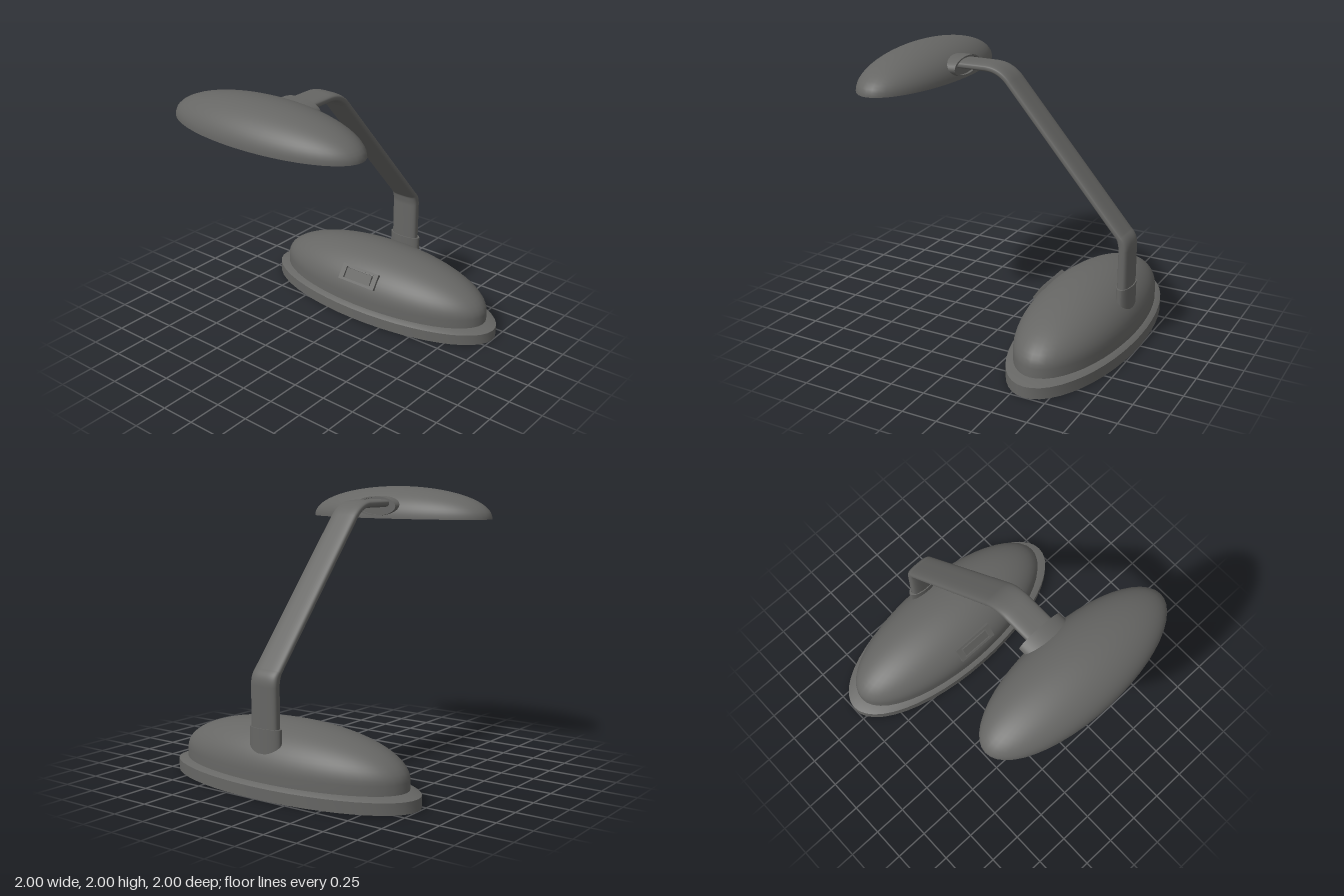
import * as THREE from 'three';
import { toCreasedNormals } from 'three/addons/utils/BufferGeometryUtils.js';

const grey = new THREE.MeshStandardMaterial({ color: 0x666664 });
const bulbYellow = new THREE.MeshStandardMaterial({ color: 0xd8d098 });

const part = (name, geometry, material = grey) => {
  const mesh = new THREE.Mesh(geometry, material);
  mesh.name = name;
  return mesh;
};

// Turned profile [radius, y] stretched into an ellipse
function ovalLathe(profile, rx, rz, segments = 48) {
  const points = profile.map(([r, y]) => new THREE.Vector2(r, y));
  const g = new THREE.LatheGeometry(points, segments);
  g.scale(rx, 1, rz);
  return toCreasedNormals(g, 0.7);
}

// Quarter-ellipse profile from the rim up to the crown
function domeProfile(radius, y0, height, steps = 16) {
  return Array.from({ length: steps + 1 }, (_, i) => {
    const a = (i / steps) * Math.PI / 2;
    return [i === steps ? 0 : radius * Math.cos(a), y0 + height * Math.sin(a)];
  });
}

// Sleeve with a shallow recess at its open (top) end
const collar = (rx, rz, length) => ovalLathe(
  [[0, 0], [1, 0], [1, length], [0.87, length], [0.87, length - 0.02], [0, length - 0.02]], rx, rz, 36);

// Flattened tube swept along a bent path in the yz plane
function armGeometry() {
  const v = (y, z) => new THREE.Vector3(0, y, z);
  const bend = (a, b, c) => new THREE.QuadraticBezierCurve3(a, b, c).getPoints(10);
  const path = [
    v(1.88, 0.45),
    ...bend(v(1.88, 0.17), v(1.88, 0.064), v(1.795, -0.01)),
    ...bend(v(0.825, -0.85), v(0.788, -0.882), v(0.73, -0.882)),
    v(0.25, -0.882),
  ];
  const sides = 40, pos = [], index = [];
  const rounded = (c) => Math.sign(c) * Math.abs(c) ** 0.65;
  path.forEach((p, i) => {
    const before = path[Math.max(i - 1, 0)], after = path[Math.min(i + 1, path.length - 1)];
    const tIn = p.clone().sub(before).normalize(), tOut = after.clone().sub(p).normalize();
    const t = tIn.add(tOut).normalize();
    const n = t.clone().cross(new THREE.Vector3(1, 0, 0));
    const half = 0.029 + 0.013 * THREE.MathUtils.smoothstep(-p.z, 0.845, 0.882);
    for (let j = 0; j < sides; j++) {
      const a = (j / sides) * Math.PI * 2;
      const s = half * rounded(Math.sin(a));
      pos.push(0.108 * rounded(Math.cos(a)), p.y + n.y * s, p.z + n.z * s);
      if (i < path.length - 1) {
        const k = (j + 1) % sides, r = i * sides;
        index.push(r + j, r + k, r + sides + j, r + k, r + sides + k, r + sides + j);
      }
    }
  });
  const g = new THREE.BufferGeometry();
  g.setAttribute('position', new THREE.Float32BufferAttribute(pos, 3));
  g.setIndex(index);
  g.computeVertexNormals();
  return g;
}

function rectangle(Type, w, h) {
  return new Type([[-w, -h], [w, -h], [w, h], [-w, h]].map(([x, y]) => new THREE.Vector2(x / 2, y / 2)));
}

// Framed rocker switch lying on the front slope of the base
function createSwitch() {
  const group = new THREE.Group();
  group.name = 'switch';
  const outline = rectangle(THREE.Shape, 0.33, 0.125);
  outline.holes.push(rectangle(THREE.Path, 0.25, 0.088));
  const frame = new THREE.ExtrudeGeometry(outline, { depth: 0.04, bevelEnabled: false });
  frame.translate(0, 0, -0.04);
  const rocker = part('switchRocker', new THREE.BoxGeometry(0.23, 0.075, 0.03));
  rocker.position.z = -0.016;
  rocker.rotation.x = 0.12;
  group.add(part('switchFrame', frame), rocker);
  group.position.set(0, 0.328, -0.276);
  group.rotation.x = -0.61;
  return group;
}

export function createModel() {
  const lamp = new THREE.Group();
  lamp.name = 'deskLamp';

  // Base: oval foot with a sloped shoulder, and the dome on top
  const foot = part('baseFoot', ovalLathe([[0, 0], [1, 0], [1, 0.08], [0.915, 0.105], [0, 0.105]], 1, 0.4));
  const dome = part('baseDome', ovalLathe([[1, 0.09], ...domeProfile(1, 0.17, 0.292)], 0.915, 0.367));
  for (const mesh of [foot, dome]) mesh.position.z = -0.6;

  // Arm and its two sleeves
  const arm = part('arm', armGeometry());
  const baseCollar = part('baseCollar', collar(0.13, 0.053, 0.255));
  baseCollar.position.set(0, 0.2, -0.882);
  const shadeCollar = part('shadeCollar', collar(0.175, 0.07, 0.105));
  shadeCollar.rotation.x = -Math.PI / 2;
  shadeCollar.position.set(0, 1.86, 0.47);

  // Shade: hollow underside with a stepped rim, closed by the outer dome
  const shade = part('shade', ovalLathe([
    [0, 1.875], [0.3, 1.87], [0.55, 1.84], [0.66, 1.8], [0.7, 1.8], [0.7, 1.785],
    [0.92, 1.785], [0.95, 1.77], [1, 1.77], ...domeProfile(1, 1.777, 0.223),
  ], 0.767, 0.308));
  shade.position.z = 0.692;

  const bulb = part('bulb', new THREE.SphereGeometry(1, 32, 16), bulbYellow);
  bulb.scale.set(0.15, 0.05, 0.065);
  bulb.position.set(0, 1.84, 0.692);

  lamp.add(foot, dome, createSwitch(), baseCollar, arm, shadeCollar, shade, bulb);
  return lamp;
}
